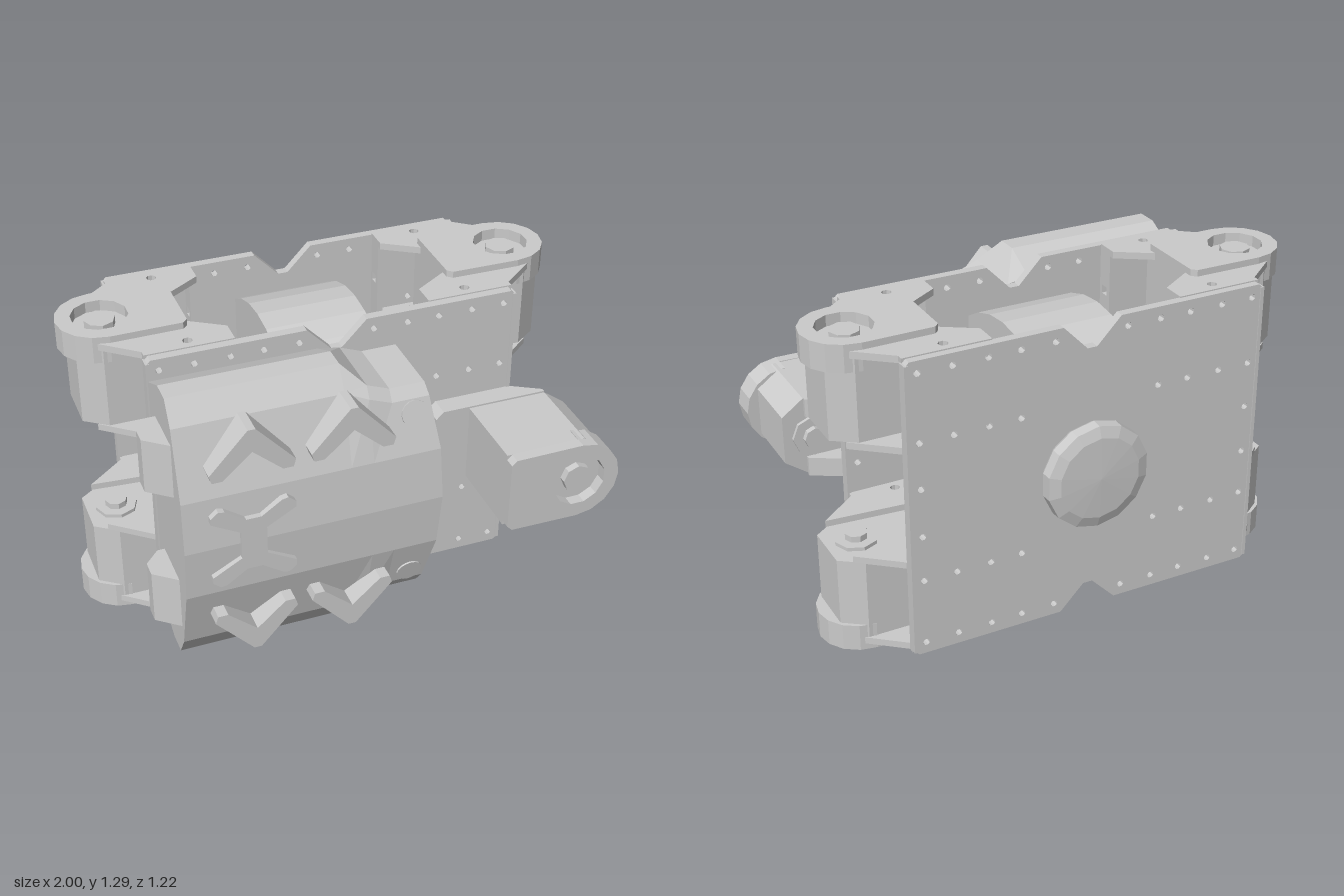
import * as THREE from 'three';

const MID = 0.655, CZ = -0.2;
const mat = new THREE.MeshStandardMaterial({ color: 0xcccccc, flatShading: true, side: THREE.DoubleSide });

function add(parent, name, geo, x = 0, y = 0, z = 0) {
  const m = new THREE.Mesh(geo, mat);
  m.name = name;
  m.position.set(x, y, z);
  parent.add(m);
  return m;
}

const circle = (x, y, r, n) => Array.from({ length: n }, (_, i) => {
  const a = (i + 0.5) * 2 * Math.PI / n;
  return [x + r * Math.cos(a), y + r * Math.sin(a)];
});

// Prism from an outline: along z (outline x,y), y (outline x,z) or x (outline -z,y)
function prism(points, from, to, axis = 'z', holes = []) {
  const vec = list => list.map(p => new THREE.Vector2(...p));
  const shape = new THREE.Shape(vec(points));
  holes.forEach(h => shape.holes.push(new THREE.Path(vec(h))));
  const g = new THREE.ExtrudeGeometry(shape, { depth: to - from, bevelEnabled: false });
  if (axis === 'y') return g.rotateX(Math.PI / 2).translate(0, to, 0);
  g.translate(0, 0, from);
  return axis === 'x' ? g.rotateY(Math.PI / 2) : g;
}

// Servo with its output shaft on local +y; the case reaches towards -x
function servo(name) {
  const g = new THREE.Group();
  g.name = name;
  const body = [[-0.3, -0.165], [0.03, -0.165], [0.12, -0.1], [0.12, 0.1], [0.03, 0.165], [-0.3, 0.165]];
  add(g, 'servoCase', prism(body, 0.01, 0.355, 'y'));
  const arc = [];
  for (let i = 0; i <= 8; i++) {
    const a = -Math.PI / 2 + i * Math.PI / 8;
    arc.push([0.17 * Math.cos(a), 0.168 * Math.sin(a)]);
  }
  const bore = circle(0, 0, 0.11, 12);
  const plate = [[-0.28, -0.165], ...arc, [-0.28, 0.165], [-0.3, 0.145], [-0.3, -0.145]];
  add(g, 'hornPlate', prism(plate, 0.355, 0.4, 'y', [bore]));
  add(g, 'hornEnd', prism(arc, 0.29, 0.355, 'y'));
  add(g, 'hornHub', new THREE.CylinderGeometry(0.06, 0.06, 0.03, 8), 0, 0.37, 0);
  add(g, 'rearBearing', new THREE.CylinderGeometry(0.085, 0.085, 0.02, 8), 0, 0.005, 0);
  add(g, 'rearShaft', new THREE.CylinderGeometry(0.045, 0.045, 0.04, 8), 0, -0.01, 0);
  return g;
}

// Corner joint: a servo held by two pairs of flanges
function corner() {
  const g = new THREE.Group();
  g.name = 'cornerJoint';
  const s = servo('cornerServo');
  s.position.set(0.83, 0.245, 0);
  g.add(s);
  for (const k of [-1, 1]) {
    const flange = [[0.39, 0.295], [0.39, 0.2], [0.53, 0.11], [0.9, 0.14], [0.74, 0.27], [0.74, 0.295]]
      .map(([x, z]) => [x, k * z]);
    const hole = circle(0.56, k * 0.25, 0.02, 8);
    add(g, 'outerFlange', prism(flange, 0.59, 0.618, 'y', [hole]));
    add(g, 'innerFlange', prism(flange, 0.228, 0.255, 'y', [hole]));
    const wall = [[-k * 0.22, 0.25], [-k * 0.3, 0.25], [-k * 0.3, 0.6], [-k * 0.22, 0.6]];
    const window_ = circle(-k * 0.26, 0.43, 0.025, 4);
    add(g, 'bracketWall', prism(wall, 0.39, 0.415, 'x', [window_]));
  }
  return g;
}

// Chassis plate with notches and screw holes
function chassisPlate(parent, name, z0, z1) {
  const half = [[0.02, 1.165], [0.12, 1.268], [0.725, 1.268], [0.742, 1.25]];
  const right = [...half, ...half.map(([x, y]) => [x, 2 * MID - y]).reverse()];
  const outline = [...right, ...right.map(([x, y]) => [-x, y]).reverse()];
  const holes = [];
  for (const s of [-1, 1]) {
    for (const x of [0.15, 0.29, 0.42, 0.56, 0.695])
      for (const dy of [0.29, 0.565])
        if (x > 0.2 || dy > 0.5)
          for (const t of [-1, 1]) holes.push(circle(s * x, MID + t * dy, 0.014, 8));
    for (const t of [-1, 1]) holes.push(circle(s * 0.695, MID + t * 0.1, 0.014, 8));
  }
  add(parent, name, prism(outline, z0, z1, 'z', holes));
  for (const s of [-1, 1])
    add(parent, 'plateLip', new THREE.BoxGeometry(0.015, 1.2, z1 - z0 + 0.008), s * 0.738, MID, (z0 + z1) / 2);
}

// Front shell lofted along x
function shellGeometry() {
  const wide = [[0.13, 0.525], [0.27, 0.595], [0.36, 0.595], [0.42, 0.5], [0.5, 0.22], [0.515, 0]];
  const slim = [[0.13, 0.475], [0.27, 0.475], [0.41, 0.475], [0.44, 0.43], [0.5, 0.22], [0.515, 0]];
  const neck = slim.map(([z, d]) => [z, d > 0.4 ? d + 0.035 : d]);
  const full = h => [...h, ...h.slice(0, -1).reverse().map(([z, d]) => [z, -d])];
  const sections = [[-0.74, wide], [-0.08, wide], [0.01, neck], [0.1, slim], [0.29, slim]]
    .map(([x, h], i) => full(h).map(([z, d]) => [x - (i === 4 ? 0.22 * d * d : 0), MID + d, z]));
  const n = sections[0].length, pos = [], idx = [];
  sections.forEach(s => s.forEach(p => pos.push(...p)));
  for (let i = 0; i < sections.length - 1; i++)
    for (let j = 0; j < n - 1; j++) {
      const a = i * n + j, b = a + n;
      idx.push(a, a + 1, b, b, a + 1, b + 1);
    }
  const c = pos.length / 3, last = (sections.length - 1) * n;
  pos.push(-0.74, MID, 0.13, 0.29, MID, 0.13);
  for (let j = 0; j < n - 1; j++) idx.push(c, j + 1, j, c + 1, last + j, last + j + 1);
  const g = new THREE.BufferGeometry();
  g.setAttribute('position', new THREE.Float32BufferAttribute(pos, 3));
  g.setIndex(idx);
  g.computeVertexNormals();
  return g;
}

export function createModel() {
  const root = new THREE.Group();
  root.name = 'robotTorso';

  // Chassis
  chassisPlate(root, 'frontPlate', 0.094, 0.131);
  chassisPlate(root, 'backPlate', -0.526, -0.49);
  const core = [];
  for (const s of [1, -1])
    for (let i = 0; i <= 6; i++) {
      const a = s * (-0.615 + i * 1.23 / 6);
      core.push([s * 0.52 * Math.sin(s * a), s * 0.52 * Math.cos(a)]);
    }
  add(root, 'centralCore', prism(core, -0.207, 0.202, 'x', [circle(0, 0, 0.187, 12)]), 0, MID, CZ);

  // Back cap
  const cap = [[0.205, 0], [0.217, 0.02], [0.215, 0.065], [0.17, 0.08], [0, 0.088]].map(p => new THREE.Vector2(...p));
  add(root, 'backCap', new THREE.LatheGeometry(cap, 14).rotateX(-Math.PI / 2), 0, MID, -0.526);

  // Four corner joints
  for (const ry of [0, Math.PI])
    for (const rx of [0, Math.PI]) {
      const c = corner();
      c.rotation.set(rx, ry, 0);
      c.position.set(0, MID, CZ);
      root.add(c);
    }

  // Front shell and its raised details
  add(root, 'frontShell', shellGeometry());
  const chevron = [[-0.165, 1.0], [-0.015, 1.165], [0.015, 1.165], [0.165, 1.0], [0.155, 0.968], [0.115, 0.968], [0, 1.07], [-0.115, 0.968], [-0.155, 0.968]];
  const lump = [[-0.73, 0.21], [-0.77, 0.21], [-0.83, 0.275], [-0.83, 0.34], [-0.73, 0.42]];
  for (const s of [1, -1]) {
    const flip = y => MID + s * (y - MID);
    for (const cx of [-0.475, -0.085])
      add(root, 'chevron', prism(chevron.map(([x, y]) => [cx + x, flip(y)]), 0.38, 0.535));
    add(root, 'sideLump', prism(lump, -0.115, 0.115, 'y'), 0, MID + s * 0.31, 0);
    const port = add(root, 'shellPort', new THREE.CylinderGeometry(0.053, 0.053, 0.012, 16), 0.185, MID + s * 0.375, 0.457);
    port.rotation.x = Math.PI / 2 - s * 0.266;
  }
  const arm = [[0.05, 0.06], [0.165, 0.125], [0.165, 0.15], [0.135, 0.175], [0.11, 0.17], [0.03, 0.115]];
  const rightSide = [...arm.map(([x, y]) => [x, -y]).reverse(), ...arm];
  const cross = [...rightSide, ...rightSide.map(([x, y]) => [-x, y]).reverse()];
  add(root, 'crossEmblem', prism(cross, 0.45, 0.53), -0.475, MID, 0);

  // Front servo and its mount
  const mount = [[0.42, 0.485], [0.39, 0.515], [0.39, 0.795], [0.42, 0.825], [0.62, 0.825], [0.62, 0.485]];
  add(root, 'servoMount', prism(mount, 0.13, 0.215));
  const web = [[0.6, 0.13], [0.74, 0.13], [0.86, 0.2], [0.86, 0.215], [0.6, 0.215]];
  for (const s of [-1, 1]) add(root, 'mountWeb', prism(web, -0.04, 0.04, 'y'), 0, MID + s * 0.13, 0);
  const front = servo('frontServo');
  front.rotation.x = Math.PI / 2;
  front.position.set(0.83, MID, 0.208);
  root.add(front);

  return root;
}
